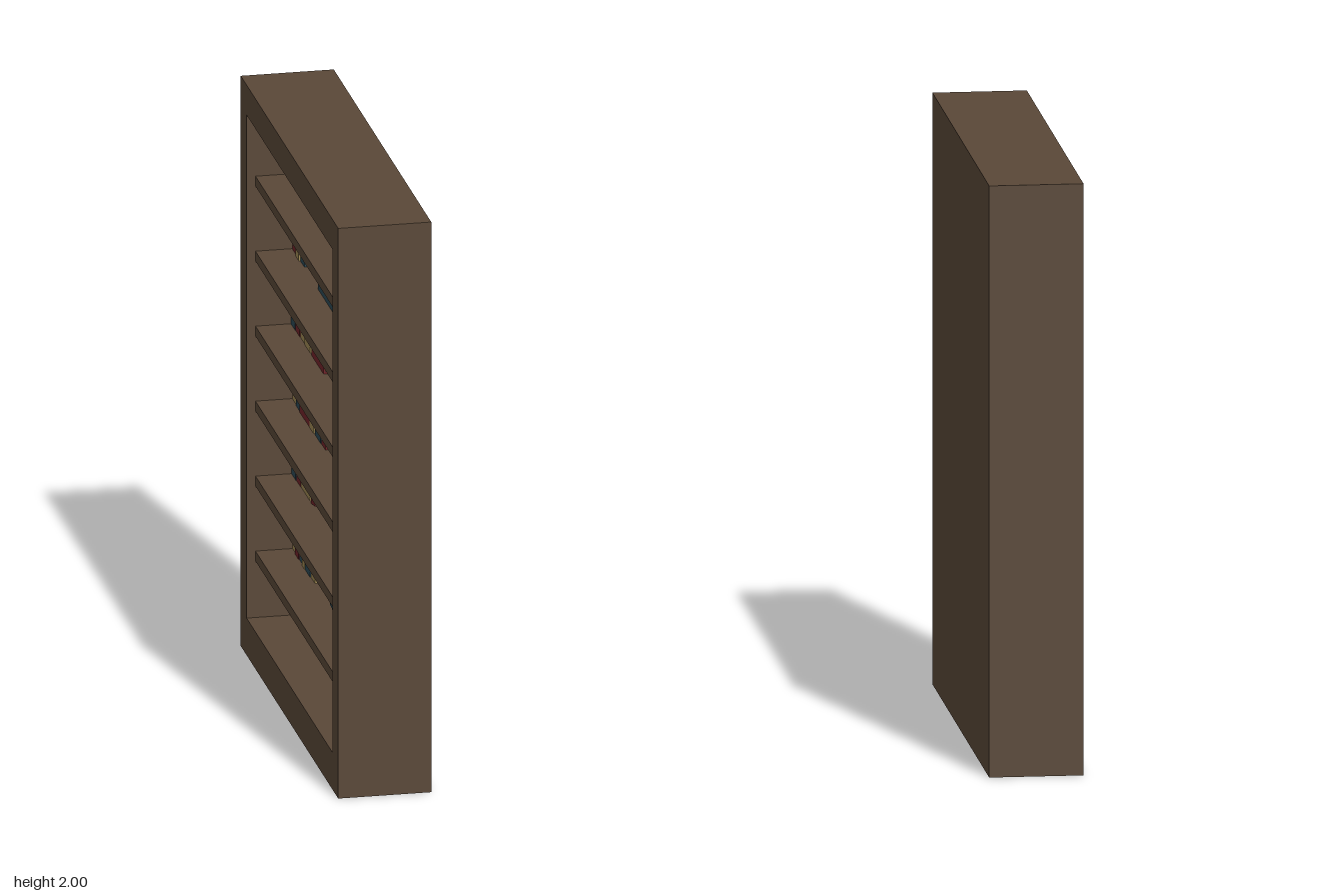
import * as THREE from 'three';

const W = 0.315, H = 2, D = 1.575;             // thickness (x), height (y), width (z)
const SIDE = 0.095, FLOOR = 0.13, TOP = 0.105, BACK = 0.049;
const FRONT = -W / 2, BACK_IN = W / 2 - BACK;  // open side faces -x
const UNIT = 1 / 88.9;                         // unit of the widths in the rows below

const material = color => new THREE.MeshStandardMaterial({ color });
const wood = material(0x5a4838);
const pages = material(0xcccccc);
const covers = { R: material(0x74242a), Y: material(0xa08a54), B: material(0x2c4a56) };

// box between two corners
function box(name, mat, a, b) {
  const mesh = new THREE.Mesh(new THREE.BoxGeometry(b[0] - a[0], b[1] - a[1], b[2] - a[2]), mat);
  mesh.name = name;
  mesh.position.set((a[0] + b[0]) / 2, (a[1] + b[1]) / 2, (a[2] + b[2]) / 2);
  return mesh;
}

// standing book: spine at x = 0 towards -x, base on y = 0, thickness along z from 0
function createBook(cover, thick, height, depth) {
  const book = new THREE.Group();
  const t = Math.min(0.007, thick * 0.15), inset = 0.006;
  book.add(
    box('spine', cover, [0, 0, 0], [t, height, thick]),
    box('cover', cover, [t, 0, 0], [depth, height, t]),
    box('cover', cover, [t, 0, thick - t], [depth, height, thick]),
    box('pageBlock', pages, [t, inset, t], [depth - inset, height - inset, thick - t])
  );
  return book;
}

// Rows from the floor up, walking along +z. Each entry is pose, colour, width:
// | stands, > and < lean towards +z and -z, = lies flat,
// ^ lies on the book before it, and the colour _ is a gap.
const rows = [
  '|R5 |B4 |R4 |Y6 |Y5 |B7 |_4 =B21 |Y5 |B5 |R5 |Y5 |R6 |B6 |_1 |R6 |_2 =R17',
  '|Y5 |R5 |B5 |Y4 |B7 |Y6 |_22 >B7 |_1 |R6 |Y6 |B7 |Y6 |_1 |B6 |R6 |_2 <B6 |R6 |_1 |Y7',
  '|B6 |R6 |Y7 |Y6 |_2 <R6 |_34 >R4 |_1 |Y4 |B5 |_2 =R20 |R6 |B6 |R6',
  '|Y6 |B6 |R7 |R7 |Y6 |_1 |B8 |R6 |_24 =Y17 ^R16 |Y6 |B8 |R7',
  '|B6 |R6 |Y7 |Y8 |_2 =R17 ^R16 |_16 >R4 |_1 |B7 |Y5 |R6 |Y4 |B5 |_1 |R6 |Y5 |B4 |_1 |Y7',
  '|R6 |Y5 |B6 |_20 =B21 |Y6 |R5 |_1 >B5 |_4 =B24 |R6 |Y5 |_1 |R6',
];
const leans = { '|': 0, '>': 0.16, '<': -0.16 };

let seed = 7;
const random = () => (seed = (seed * 16807) % 2147483647) / 2147483647;

function createRow(text, base) {
  const row = new THREE.Group();
  row.name = 'bookRow';
  const flatThick = text.includes('^') ? 0.05 : 0.06;
  let z = -D / 2 + SIDE + 0.003, flatStart = 0;
  for (const token of text.split(' ')) {
    const pose = token[0], colour = token[1], width = Number(token.slice(2)) * UNIT;
    if (colour === '_') { z += width; continue; }
    const x = FRONT + 0.15 + random() * 0.006;
    const depth = BACK_IN - x - 0.002;
    const holder = new THREE.Group();
    if (pose === '=' || pose === '^') {
      // turned a quarter so its height runs along z
      holder.name = 'lyingBook';
      const book = createBook(covers[colour], flatThick, width, depth);
      book.rotation.x = Math.PI / 2;
      book.position.y = flatThick;
      holder.add(book);
      if (pose === '=') { flatStart = z; z += width; }
      holder.position.set(x, base + (pose === '^' ? flatThick : 0), flatStart);
    } else {
      // leaning books pivot on their lower corner
      holder.name = 'standingBook';
      const thick = width - 0.002, pivot = pose === '>' ? thick : 0;
      const book = createBook(covers[colour], thick, 0.15 + random() * 0.035, depth);
      book.position.z = -pivot;
      holder.add(book);
      holder.position.set(x, base, z + pivot);
      holder.rotation.x = leans[pose];
      z += width;
    }
    row.add(holder);
  }
  return row;
}

export function createModel() {
  const model = new THREE.Group();
  model.name = 'bookcase';
  const inner = D / 2 - SIDE;

  // carcass
  model.add(
    box('backPanel', wood, [BACK_IN, 0, -D / 2], [W / 2, H, D / 2]),
    box('sidePanel', wood, [FRONT, 0, -D / 2], [BACK_IN, H, -inner]),
    box('sidePanel', wood, [FRONT, 0, inner], [BACK_IN, H, D / 2]),
    box('basePanel', wood, [FRONT, 0, -inner], [BACK_IN, FLOOR, inner]),
    box('topPanel', wood, [FRONT, H - TOP, -inner], [BACK_IN, H, inner])
  );

  // shelves, the top one empty
  const level = i => (i === 0 ? FLOOR : 0.1 + 0.263 * i);
  for (let i = 1; i <= 6; i++) {
    model.add(box('shelf', wood, [FRONT + 0.03, level(i) - 0.035, -inner], [BACK_IN, level(i), inner]));
  }
  rows.forEach((text, i) => model.add(createRow(text, level(i))));
  return model;
}
